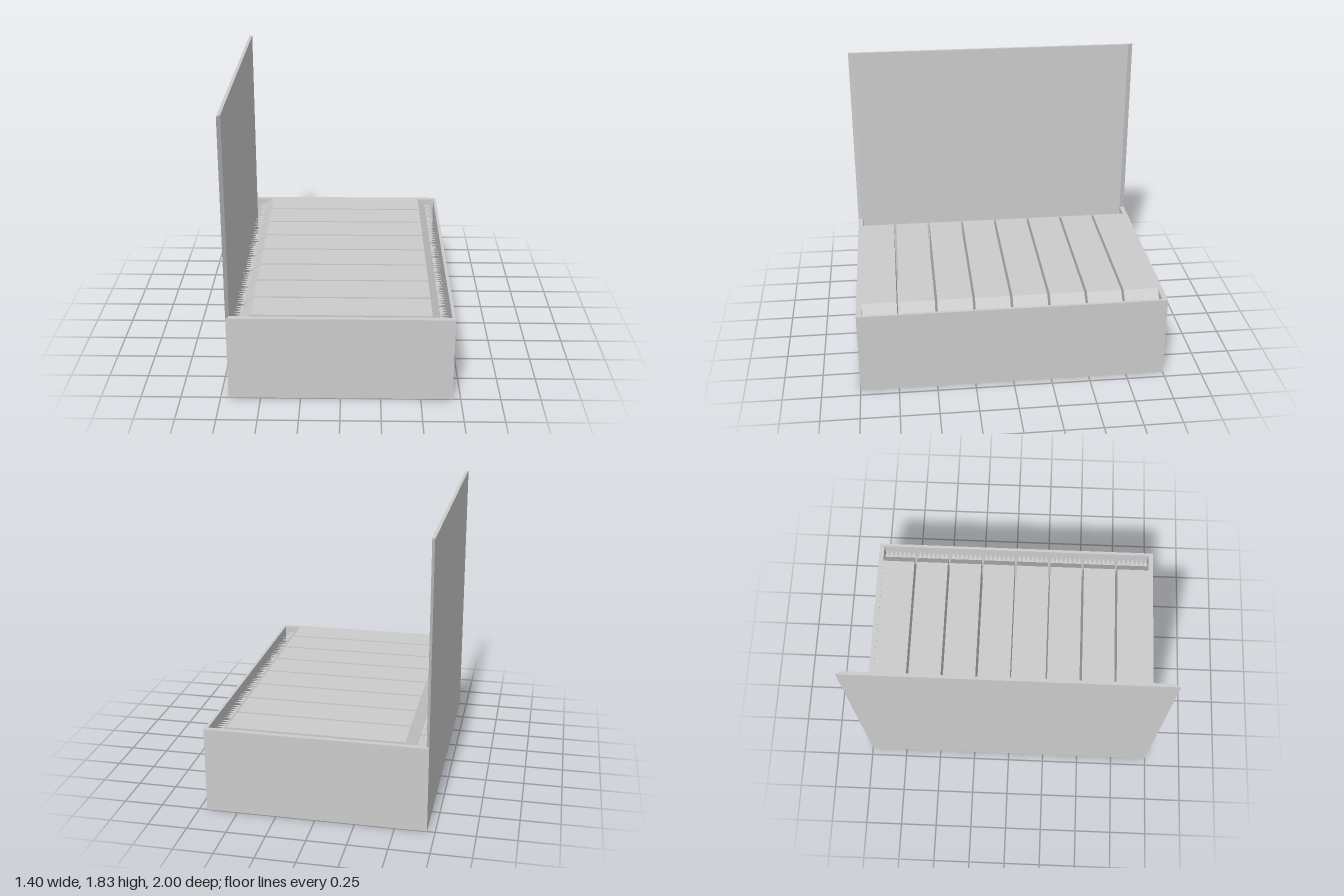
import * as THREE from 'three';

const mat = new THREE.MeshStandardMaterial({ color: 0xcccccc, flatShading: true });
const thinMat = new THREE.MeshStandardMaterial({ color: 0xcccccc, flatShading: true, side: THREE.DoubleSide });

const W = 0.7, D = 1, H = 0.555, LID_TOP = 1.835; // half width, half depth, box height, lid top
const FLOOR = 0.02, WALL_X = 0.02, WALL_Z = 0.034;
const COLUMNS = 8, LAYERS = 5, PITCH = 0.2435, PACKET_D = 0.227, PACKET_H = 0.1094;

function add(parent, name, geometry, material = mat) {
  const mesh = new THREE.Mesh(geometry, material);
  mesh.name = name;
  parent.add(mesh);
  return mesh;
}

const shapeOf = (pts) => new THREE.Shape(pts.map(([x, y]) => new THREE.Vector2(x, y)));
const extrude = (shape, depth) => new THREE.ExtrudeGeometry(shape, { depth, bevelEnabled: false });
const rect = (x, y) => [[-x, -y], [x, -y], [x, y], [-x, y]];

// Flat seal with serrated ends, lying in the xz plane
function sealGeometry(teeth) {
  const pts = [], step = PACKET_D / teeth, base = 0.615, tip = 0.665;
  for (let i = 0; i <= teeth; i++) {
    const z = -PACKET_D / 2 + i * step;
    pts.push([base, z]);
    if (i < teeth) pts.push([tip, z + step / 2]);
  }
  const left = pts.map(([x, z]) => [-x, z]).reverse();
  return new THREE.ShapeGeometry(shapeOf([...pts, ...left])).rotateX(-Math.PI / 2);
}

export function createModel() {
  const model = new THREE.Group();
  model.name = 'packetBox';

  // Open box: walls as a rectangular ring, plus a floor
  const ring = shapeOf(rect(W, D));
  ring.holes.push(shapeOf(rect(W - WALL_X, D - WALL_Z)));
  add(model, 'boxWalls', extrude(ring, H).rotateX(-Math.PI / 2));
  add(model, 'boxFloor', new THREE.BoxGeometry(2 * (W - WALL_X), FLOOR, 2 * (D - WALL_Z)))
    .position.y = FLOOR / 2;

  // Upright lid panel with mitred side edges
  const lid = shapeOf([[-W, -D], [-W + WALL_X, -D + WALL_Z], [-W + WALL_X, D - WALL_Z], [-W, D]]);
  add(model, 'lid', extrude(lid, LID_TOP - H).rotateX(-Math.PI / 2)).position.y = H;

  // Packets: pouches with sloped ends around a serrated seal
  const h = PACKET_H / 2;
  const pouch = extrude(shapeOf([
    [-0.615, 0], [-0.55, -h], [0.56, -h], [0.615, 0], [0.56, h], [-0.55, h],
  ]), PACKET_D).translate(0, 0, -PACKET_D / 2);
  const seals = [sealGeometry(7), sealGeometry(8)];

  const packets = new THREE.Group();
  packets.name = 'packets';
  model.add(packets);
  for (let c = 0; c < COLUMNS; c++) {
    for (let l = 0; l < LAYERS; l++) {
      const packet = new THREE.Group();
      packet.name = 'packet';
      add(packet, 'pouch', pouch);
      add(packet, 'serratedSeal', seals[l % 2], thinMat);
      packet.position.set(0, FLOOR + PACKET_H * (l + 0.5), (c - (COLUMNS - 1) / 2) * PITCH + 0.002);
      packets.add(packet);
    }
  }
  return model;
}
